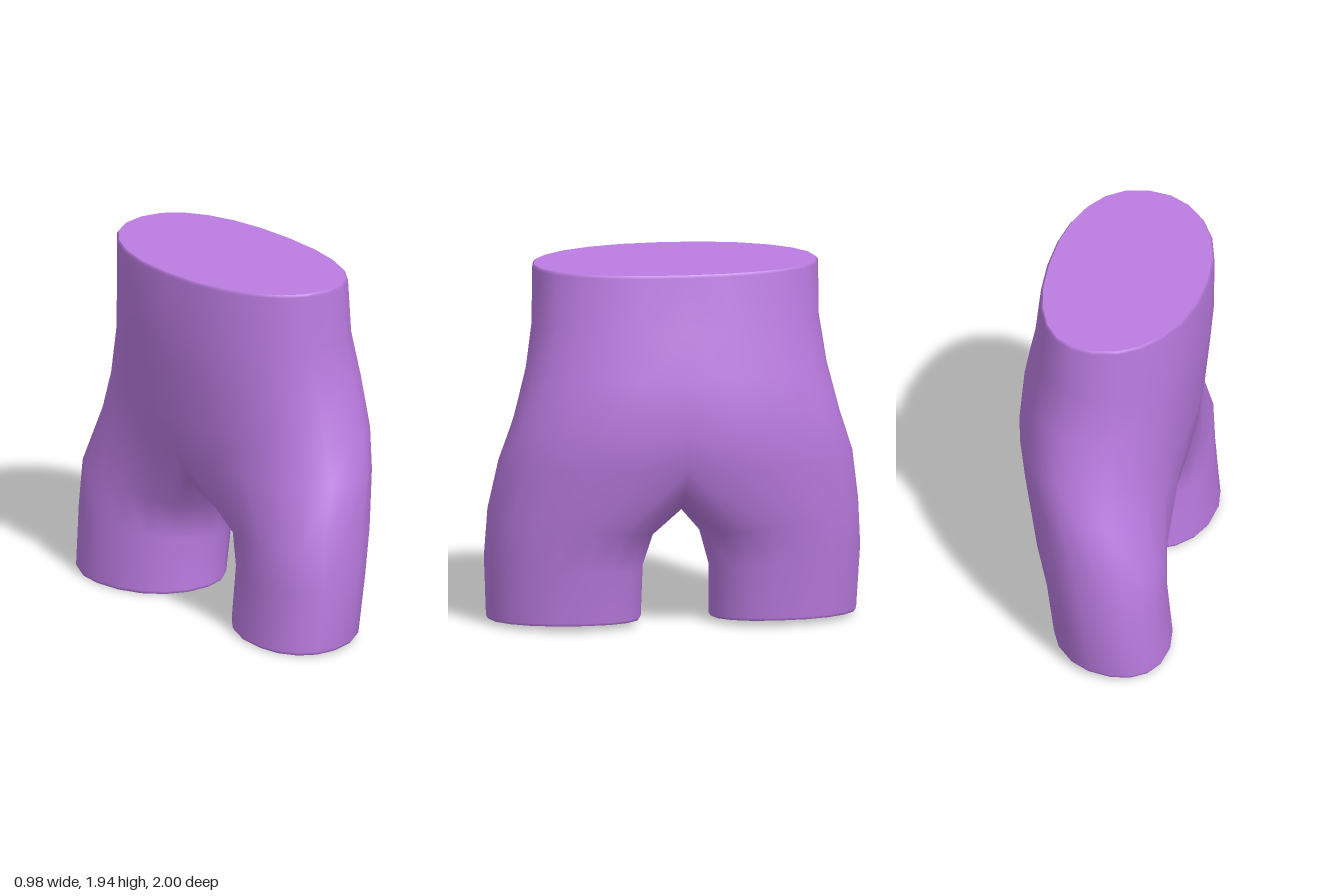
import * as THREE from 'three';
import { mergeVertices } from 'three/addons/utils/BufferGeometryUtils.js';

const HALF = 12; // segments around one half of the trunk
const LEG_SKEW = THREE.MathUtils.degToRad(10); // turns the thigh sections outward at the front

// Slightly squared sine, for sections a little fuller than an ellipse
const full = (v) => Math.sign(v) * Math.abs(v) ** 0.92;

// Half ring of the trunk, from +x round the side (+z) to -x
function trunkRing([y, x0, x1, rz, shift = 0, tilt = 0]) {
  const cx = (x0 + x1) / 2, rx = (x1 - x0) / 2;
  return Array.from({ length: HALF + 1 }, (_, i) => {
    const a = Math.PI * i / HALF, s = Math.sin(a), c = Math.cos(a);
    return new THREE.Vector3(cx + rx * full(c) + shift * s * s, y - tilt * c, rz * full(s));
  });
}

// Closed leg ring; the first 13 points continue the trunk, the other 5 the crotch
function legRing([yOut, yIn, x0, x1, z0, z1, tilt = 0]) {
  const cx = (x0 + x1) / 2, rx = (x1 - x0) / 2, cz = (z0 + z1) / 2, rz = (z1 - z0) / 2;
  return Array.from({ length: HALF + 6 }, (_, i) => {
    const a = THREE.MathUtils.degToRad(-120 + 20 * i);
    const s = full(-Math.sin(a + LEG_SKEW)), c = Math.cos(a);
    return new THREE.Vector3(cx + rx * s, yOut + (yIn - yOut) * (1 - c) / 2 + tilt * s, cz + rz * full(c));
  });
}

// Collects triangles together with their mirror images across z = 0
function mirroredSurface() {
  const pos = [];
  const tri = (a, b, c) => {
    for (const p of [a, b, c]) pos.push(p.x, p.y, p.z);
    for (const p of [a, c, b]) pos.push(p.x, p.y, -p.z);
  };
  const strip = (a, b, closed) => {
    const n = a.length;
    for (let i = 0; i < (closed ? n : n - 1); i++) {
      const j = (i + 1) % n;
      tri(a[i], a[j], b[j]);
      tri(a[i], b[j], b[i]);
    }
  };
  const build = () => {
    const g = new THREE.BufferGeometry();
    g.setAttribute('position', new THREE.Float32BufferAttribute(pos, 3));
    const merged = mergeVertices(g, 1e-4);
    merged.computeVertexNormals();
    return merged;
  };
  return { tri, strip, build };
}

export function createModel() {
  const group = new THREE.Group();
  const material = new THREE.MeshStandardMaterial({ color: 0xbc7ce2 });
  const add = (name, geometry) => {
    const mesh = new THREE.Mesh(geometry, material);
    mesh.name = name;
    group.add(mesh);
  };

  // Trunk: y, smallest x, largest x, half width, side shift, tilt
  const trunk = [
    [1.935, -0.482, 0.366, 0.75, 0.04, 0.005],
    [1.92, -0.492, 0.378, 0.76, 0.04, 0.005],
    [1.63, -0.49, 0.412, 0.763, 0.03],
    [1.38, -0.465, 0.466, 0.80, 0.02],
    [1.11, -0.432, 0.49, 0.87, 0],
    [0.9, -0.40, 0.458, 0.94, -0.03],
  ].map(trunkRing);

  // Crotch line along x, shared by both legs
  const crotch = [[-0.33, 0.75], [-0.2, 0.67], [0, 0.64], [0.24, 0.655], [0.375, 0.75]]
    .map(([x, y]) => new THREE.Vector3(x, y, 0));

  // Legs: outer y, inner y, smallest x, largest x, inner z, outer z, tilt
  const legs = [
    [0.62, 0.5, -0.378, 0.325, 0.12, 0.985],
    [0.36, 0.31, -0.382, 0.264, 0.175, 1.0],
    [0.035, 0.035, -0.412, 0.228, 0.18, 0.984, 0.014],
    [0.018, 0.018, -0.402, 0.218, 0.192, 0.972, 0.016],
  ].map(legRing);

  // Smooth skin of hips and thighs
  const skin = mirroredSurface();
  for (let i = 0; i < trunk.length - 1; i++) skin.strip(trunk[i], trunk[i + 1], false);
  const legRings = [[...trunk.at(-1), ...crotch], ...legs];
  for (let i = 0; i < legRings.length - 1; i++) skin.strip(legRings[i], legRings[i + 1], true);
  add('hipsAndThighs', skin.build());

  // Flat waist cap
  const waist = mirroredSurface();
  const rim = trunk[0], waistCentre = new THREE.Vector3(-0.058, 1.935, 0);
  for (let i = 0; i < HALF; i++) waist.tri(waistCentre, rim[i + 1], rim[i]);
  add('waistCap', waist.build());

  // Flat caps under both thighs
  const undersides = mirroredSurface();
  const hem = legs.at(-1), hemCentre = new THREE.Vector3(-0.092, 0.018, 0.582);
  hem.forEach((p, i) => undersides.tri(hemCentre, p, hem[(i + 1) % hem.length]));
  add('thighCaps', undersides.build());

  return group;
}
